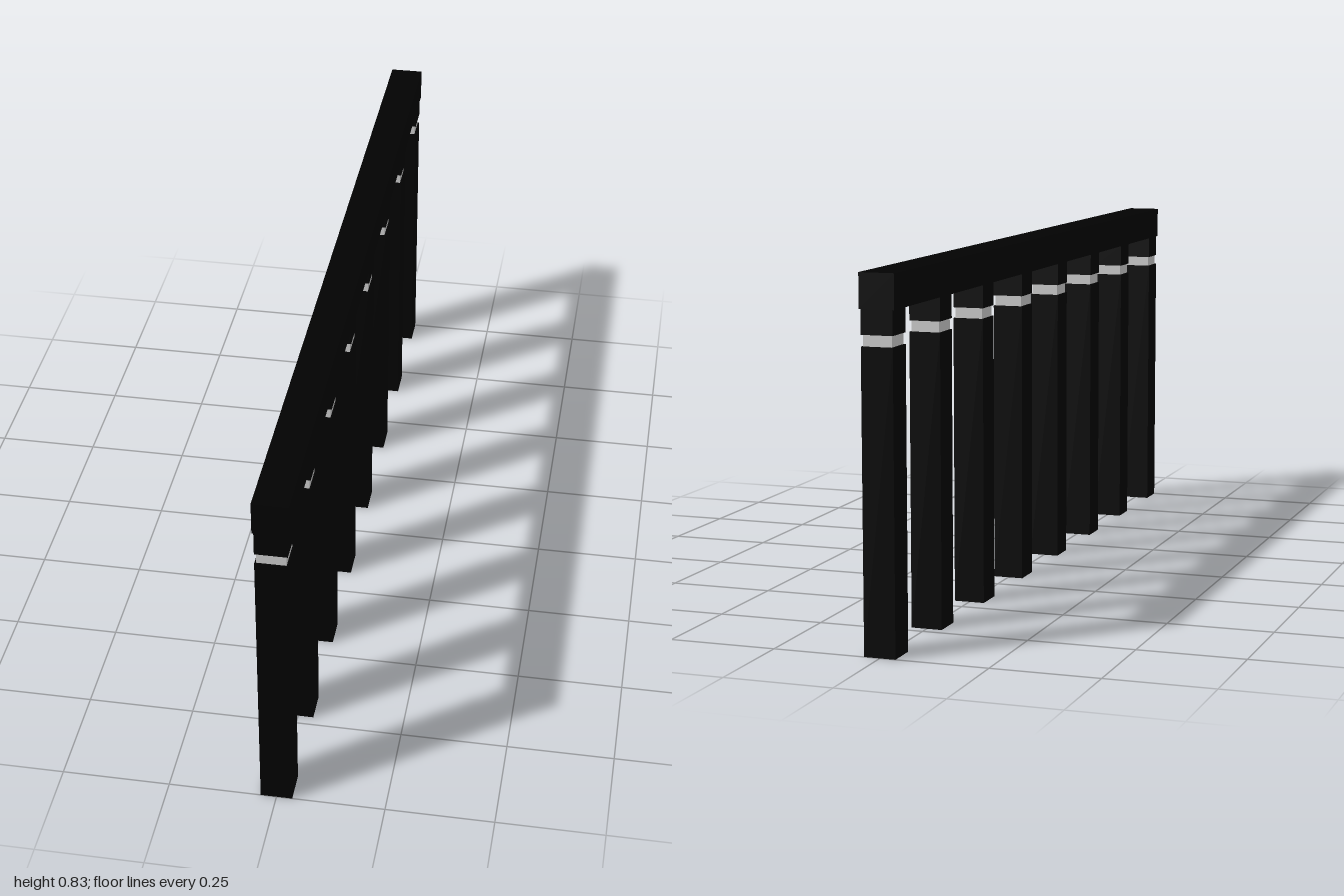
import * as THREE from 'three';

export function createModel() {
  const model = new THREE.Group();
  model.name = 'railing';

  const black = new THREE.MeshStandardMaterial({ color: 0x020202 });
  const grey = new THREE.MeshStandardMaterial({ color: 0xcccccc });

  // Box given by its footprint and its bottom and top heights
  const addBox = (parent, name, width, depth, bottom, top, material) => {
    const mesh = new THREE.Mesh(new THREE.BoxGeometry(width, top - bottom, depth), material);
    mesh.name = name;
    mesh.position.y = (bottom + top) / 2;
    parent.add(mesh);
  };

  // Top rail running along z
  addBox(model, 'topRail', 0.081, 2, 0.755, 0.833, black);

  // Square posts, the outer two flush with the rail ends
  const count = 8;
  const side = 0.073;
  const endZ = 1 - side / 2;
  for (let i = 0; i < count; i++) {
    const post = new THREE.Group();
    post.name = `post${i + 1}`;
    post.position.z = endZ - (2 * endZ * i) / (count - 1);
    addBox(post, 'postShaft', side, side, 0, 0.675, black);
    addBox(post, 'postBand', 0.066, 0.066, 0.675, 0.7, grey); // recessed collar
    addBox(post, 'postHead', side, side, 0.7, 0.755, black);
    model.add(post);
  }

  return model;
}
